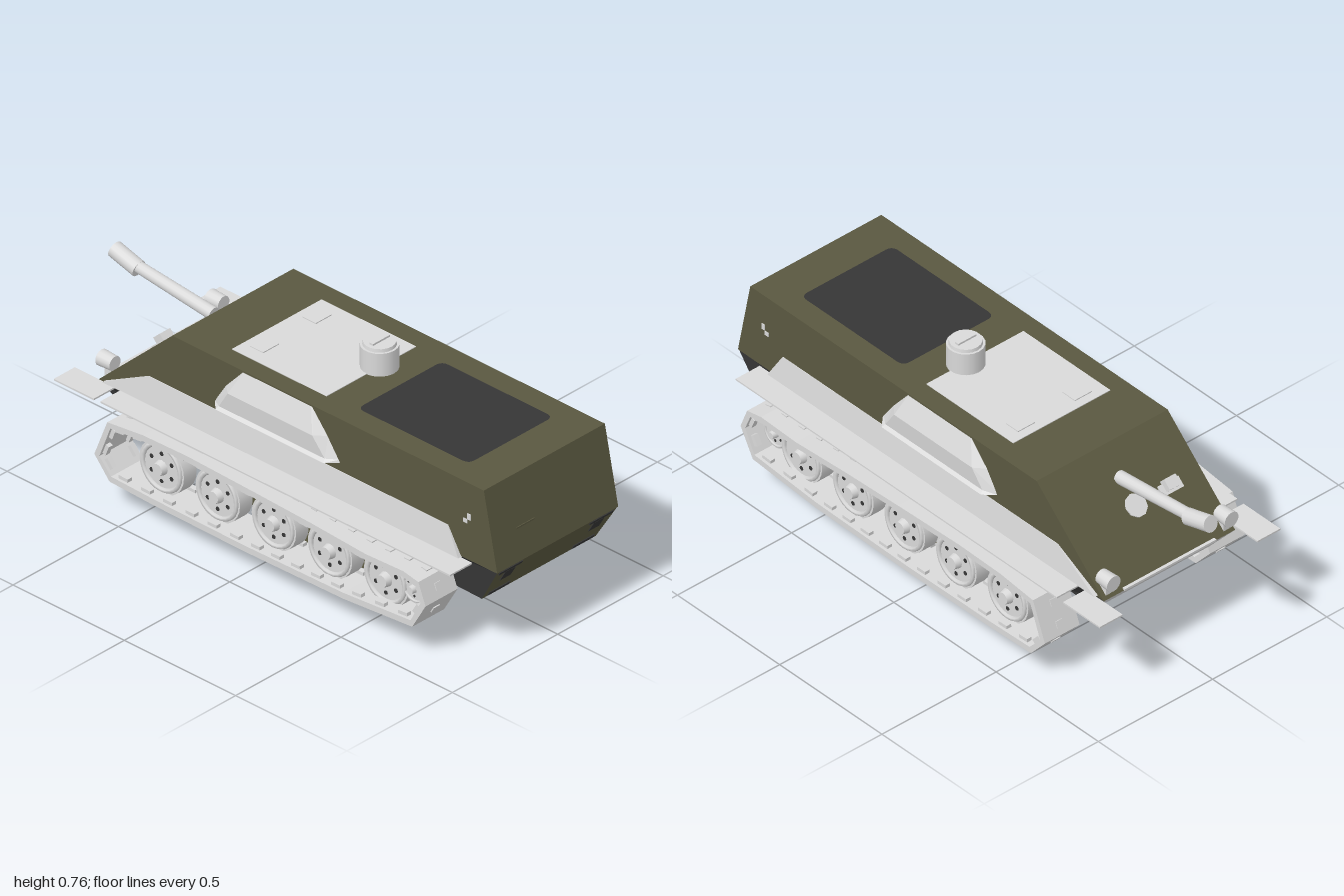
import * as THREE from 'three';

const mat = (name, color) => {
  const m = new THREE.MeshStandardMaterial({ color, side: THREE.DoubleSide });
  m.name = name;
  return m;
};

export function createModel() {
  const root = new THREE.Group();
  root.name = 'armouredVehicle';
  const olive = mat('olive', 0x5a5840);
  const grey = mat('lightGrey', 0xd9d9d9);
  const dark = mat('darkGrey', 0x363636);

  const add = (name, geo, m, x = 0, y = 0, z = 0, parent = root) => {
    const mesh = new THREE.Mesh(geo, m);
    mesh.name = name;
    mesh.position.set(x, y, z);
    parent.add(mesh);
    return mesh;
  };
  const box = (name, m, w, h, d, x, y, z, parent) =>
    add(name, new THREE.BoxGeometry(w, h, d), m, x, y, z, parent);

  // Faceted surface between equal rows of [x, y, z] points
  const loft = (name, m, rows) => {
    const v = [];
    for (let i = 0; i < rows.length - 1; i++) {
      for (let j = 0; j < rows[i].length - 1; j++) {
        const [a, b, c, d] = [rows[i][j], rows[i][j + 1], rows[i + 1][j + 1], rows[i + 1][j]];
        v.push(...a, ...b, ...c, ...a, ...c, ...d);
      }
    }
    const g = new THREE.BufferGeometry();
    g.setAttribute('position', new THREE.Float32BufferAttribute(v, 3));
    g.computeVertexNormals();
    return add(name, g, m);
  };

  // Side profile of [z, y] points, extruded across x around a centre
  const vectors = pts => pts.map(p => new THREE.Vector2(...p));
  const profile = (name, m, pts, width, x = 0, hole) => {
    const s = new THREE.Shape(vectors(pts));
    if (hole) s.holes.push(new THREE.Path(vectors(hole)));
    const g = new THREE.ExtrudeGeometry(s, { depth: width, bevelEnabled: false });
    g.translate(0, 0, -width / 2).rotateY(-Math.PI / 2);
    return add(name, g, m, x);
  };

  // Rod between two points
  const rod = (name, m, a, b, r0, r1 = r0) => {
    const p = new THREE.Vector3(...a), q = new THREE.Vector3(...b);
    const mesh = add(name, new THREE.CylinderGeometry(r1, r0, p.distanceTo(q), 14), m);
    mesh.position.copy(p).lerp(q, 0.5);
    mesh.quaternion.setFromUnitVectors(new THREE.Vector3(0, 1, 0), q.sub(p).normalize());
    return mesh;
  };

  // Upper hull
  profile('upperHull', olive, [[1, 0.36], [0.94, 0.653], [-0.46, 0.653], [-0.79, 0.347]], 0.574);

  // Lower hull: front, belly, bent tail and sides
  const edge = s => [[s * 0.285, 0.36, 0.998], [s * 0.27, 0.22, 0.915], [s * 0.185, 0.178, -0.5],
    [s * 0.25, 0.25, -0.705], [s * 0.285, 0.347, -0.79]];
  const L = edge(1), R = edge(-1);
  loft('lowerFrontPlate', olive, [[L[0], R[0]], [L[1], R[1]]]);
  loft('belly', grey, [[L[1], R[1]], [L[2], R[2]]]);
  loft('tailPlate', grey, [[L[2], R[2]], [L[3], R[3]], [L[4], R[4]]]);
  for (const e of [L, R]) {
    loft('lowerSide', dark, [[e[0], e[4]], [e[1], e[2]]]);
    loft('lowerSideTail', dark, [[e[4], e[4]], [e[2], e[3]]]);
  }

  // Roof panel, hatches, engine deck
  box('roofPanel', grey, 0.425, 0.005, 0.425, -0.003, 0.653, -0.047);
  for (const x of [-0.127, 0.122]) box('roofHatch', grey, 0.075, 0.014, 0.06, x, 0.652, -0.197);
  const deck = new THREE.Shape();
  const dw = 0.2, dh = 0.25, dr = 0.03;
  deck.moveTo(-dw + dr, -dh).lineTo(dw - dr, -dh).quadraticCurveTo(dw, -dh, dw, -dh + dr);
  deck.lineTo(dw, dh - dr).quadraticCurveTo(dw, dh, dw - dr, dh).lineTo(-dw + dr, dh);
  deck.quadraticCurveTo(-dw, dh, -dw, dh - dr).lineTo(-dw, -dh + dr).quadraticCurveTo(-dw, -dh, -dw + dr, -dh);
  add('engineDeck', new THREE.ShapeGeometry(deck).rotateX(-Math.PI / 2), dark, 0, 0.6542, 0.54);

  // Cupola
  const cx = 0.04, cz = 0.162;
  add('cupola', new THREE.CylinderGeometry(0.065, 0.065, 0.09, 18), grey, cx, 0.695, cz);
  add('cupolaCap', new THREE.CylinderGeometry(0.055, 0.057, 0.012, 18), grey, cx, 0.746, cz);
  box('cupolaHandle', grey, 0.08, 0.008, 0.016, cx, 0.755, cz);

  // Gun
  rod('gunBarrel', grey, [0, 0.572, -0.545], [0, 0.614, -0.92], 0.024, 0.021);
  rod('muzzle', grey, [0, 0.602, -0.882], [0, 0.633, -0.991], 0.03);

  // Fittings on the sloped rear plate
  const slope = new THREE.Group();
  slope.name = 'slopeFittings';
  slope.position.set(0, 0.5, -0.625);
  slope.rotation.x = -0.748;
  root.add(slope);
  box('visionBlock', grey, 0.05, 0.03, 0.04, -0.15, 0.014, 0.01, slope);
  box('visionBlockBase', grey, 0.09, 0.008, 0.04, -0.15, 0.002, 0, slope);
  add('gunPlate', new THREE.CylinderGeometry(0.042, 0.042, 0.006, 9), grey, 0, 0.002, 0, slope);
  box('tailStrip', grey, 0.4, 0.008, 0.012, 0, 0.352, -0.79);

  // Front plate details
  box('frontSlit', olive, 0.085, 0.006, 0.006, -0.13, 0.473, 0.976);
  const noseTilt = Math.atan2(0.083, 0.14);
  for (const s of [-1, 1]) {
    for (const [w, h, x, y] of [[0.11, 0.015, 0.215, 0.348], [0.05, 0.05, 0.21, 0.318], [0.1, 0.018, 0.2, 0.235]]) {
      const z = 0.998 - (0.36 - y) * 0.593;
      box('frontBracket', dark, w, h, 0.006, s * x, y, z).rotation.x = noseTilt;
    }
  }

  // Ring structure under the belly: flared wall dipping at the front, tail wall, pierced plate
  const ring = [[0.2, -0.2], [0.28, -0.08], [0.29, 0.2], [0.275, 0.33], [0.2, 0.425], [0.1, 0.445]];
  const plan = [...ring, ...ring.slice().reverse().map(([x, z]) => [-x, z])];
  const top = ([x, z]) => [x * 0.93, z > 0.4 ? 0.175 : 0.212, 0.13 + (z - 0.13) * 0.93];
  loft('underRing', olive, [plan.map(top), plan.map(([x, z]) => [x, z < -0.1 ? 0.12 : 0.095, z])]);
  loft('underRingTail', olive, [
    [[0.186, 0.205, -0.177], [-0.186, 0.205, -0.177]],
    [[0.2, 0.12, -0.2], [-0.2, 0.12, -0.2]],
  ]);
  const plate = new THREE.Shape(vectors([[-0.128, 0], [0.128, 0], [0.128, 0.17], [-0.128, 0.17]]));
  plate.holes.push(new THREE.Path(vectors([[-0.01, 0.075], [-0.01, 0.097], [0.01, 0.097], [0.01, 0.075]])));
  add('underPlate', new THREE.ExtrudeGeometry(plate, { depth: 0.003, bevelEnabled: false }), olive, 0, 0, 0.07);

  // Track outline as [z, y], ordered anticlockwise, and its inner edge
  const loop = [[0.82, 0.225], [0.788, 0.305], [0.72, 0.318], [0.55, 0.312], [0.3, 0.327], [0.05, 0.337], [-0.25, 0.347],
    [-0.45, 0.343], [-0.61, 0.325], [-0.668, 0.18], [-0.6, 0.102], [-0.4, 0.095], [0, 0.091], [0.45, 0.098], [0.76, 0.122]];
  const inner = loop.map((p, i) => {
    const a = loop[(i + loop.length - 1) % loop.length], b = loop[(i + 1) % loop.length];
    const dz = b[0] - a[0], dy = b[1] - a[1], l = Math.hypot(dz, dy);
    return [p[0] - dy / l * 0.023, p[1] + dz / l * 0.023];
  });

  // Recessed wheel facing +x or -x
  const wheel = (name, s, y, z, r) => {
    const g = new THREE.Group();
    g.name = name;
    g.position.set(s * 0.348, y, z);
    g.rotation.z = -s * Math.PI / 2;
    root.add(g);
    add('tyre', new THREE.CylinderGeometry(r, r, 0.06, 24), grey, 0, 0, 0, g);
    add('rim', new THREE.TorusGeometry(r * 0.84, r * 0.09, 6, 24).rotateX(Math.PI / 2), grey, 0, 0.03, 0, g);
    add('hub', new THREE.CylinderGeometry(r * 0.22, r * 0.28, 0.025, 12), grey, 0, 0.04, 0, g);
    for (let k = 0; k < 6; k++) {
      const a = k * Math.PI / 3;
      add('wheelHole', new THREE.CylinderGeometry(r * 0.08, r * 0.08, 0.004, 8), dark,
        Math.cos(a) * r * 0.52, 0.03, Math.sin(a) * r * 0.52, g);
    }
  };

  for (const s of [-1, 1]) {
    // Fender and its separate rear flap
    box('fender', grey, 0.105, 0.006, 1.57, s * 0.343, 0.354, 0.105);
    box('fenderFlap', grey, 0.1, 0.006, 0.18, s * 0.345, 0.351, -0.8);

    // Sloped plate above the fender
    loft('sidePlate', grey, [
      [[s * 0.284, 0.355, 0.84], [s * 0.284, 0.455, 0.78], [s * 0.284, 0.455, -0.565], [s * 0.284, 0.355, -0.76]],
      [[s * 0.303, 0.355, 0.84], [s * 0.289, 0.455, 0.78], [s * 0.289, 0.455, -0.565], [s * 0.303, 0.355, -0.76]],
    ]);
    loft('sidePlateFace', grey, [
      [[s * 0.289, 0.455, 0.78], [s * 0.289, 0.455, -0.565]],
      [[s * 0.303, 0.355, 0.84], [s * 0.303, 0.355, -0.76]],
    ]);

    // Side blister with a lip
    const row = (x, y, z0, z1, e) => [[s * 0.285, y, z0 + e], [s * x, y, z0], [s * x, y, z1], [s * 0.285, y, z1 - e]];
    loft('sideBlister', grey, [
      row(0.288, 0.648, 0.165, -0.14, 0.005),
      row(0.32, 0.565, 0.2, -0.18, 0.04),
      row(0.314, 0.495, 0.25, -0.225, 0.04),
      row(0.325, 0.485, 0.255, -0.23, 0.04),
      row(0.285, 0.485, 0.255, -0.23, 0.04),
    ]);

    // Small side fittings near the front
    box('sideFitting', grey, 0.006, 0.022, 0.015, s * 0.287, 0.525, 0.875);
    box('sideFitting', grey, 0.006, 0.015, 0.018, s * 0.287, 0.505, 0.858);

    // Rear lamp on a bracket
    rod('lamp', grey, [s * 0.258, 0.412, -0.745], [s * 0.258, 0.412, -0.805], 0.027, 0.03);
    box('lampBracket', grey, 0.025, 0.05, 0.03, s * 0.258, 0.38, -0.765);

    // Track band, with outer blocks and paired guide teeth inside
    const x = s * 0.361;
    profile('track', grey, loop, 0.152, x, inner);
    for (let i = 0; i < loop.length; i++) {
      const a = loop[i], b = loop[(i + 1) % loop.length];
      const dz = b[0] - a[0], dy = b[1] - a[1], len = Math.hypot(dz, dy);
      const count = Math.max(1, Math.round(len / 0.1));
      for (let k = 0; k < count; k++) {
        const t = (k + 0.5) / count, z = a[0] + dz * t, y = a[1] + dy * t;
        const tilt = -Math.atan2(dy, dz);
        box('trackBlock', grey, 0.028, 0.008, 0.025, x, y, z).rotation.x = tilt;
        for (const o of [-0.055, 0.055]) {
          box('guideTooth', grey, 0.02, 0.018, 0.04, x + o, y + dz / len * 0.026, z - dy / len * 0.026).rotation.x = tilt;
        }
      }
    }

    // Running gear
    for (let i = 0; i < 5; i++) wheel('roadWheel', s, 0.206, 0.587 - i * 0.252, 0.1);
    wheel('idlerWheel', s, 0.225, 0.715, 0.058);
  }
  return root;
}
